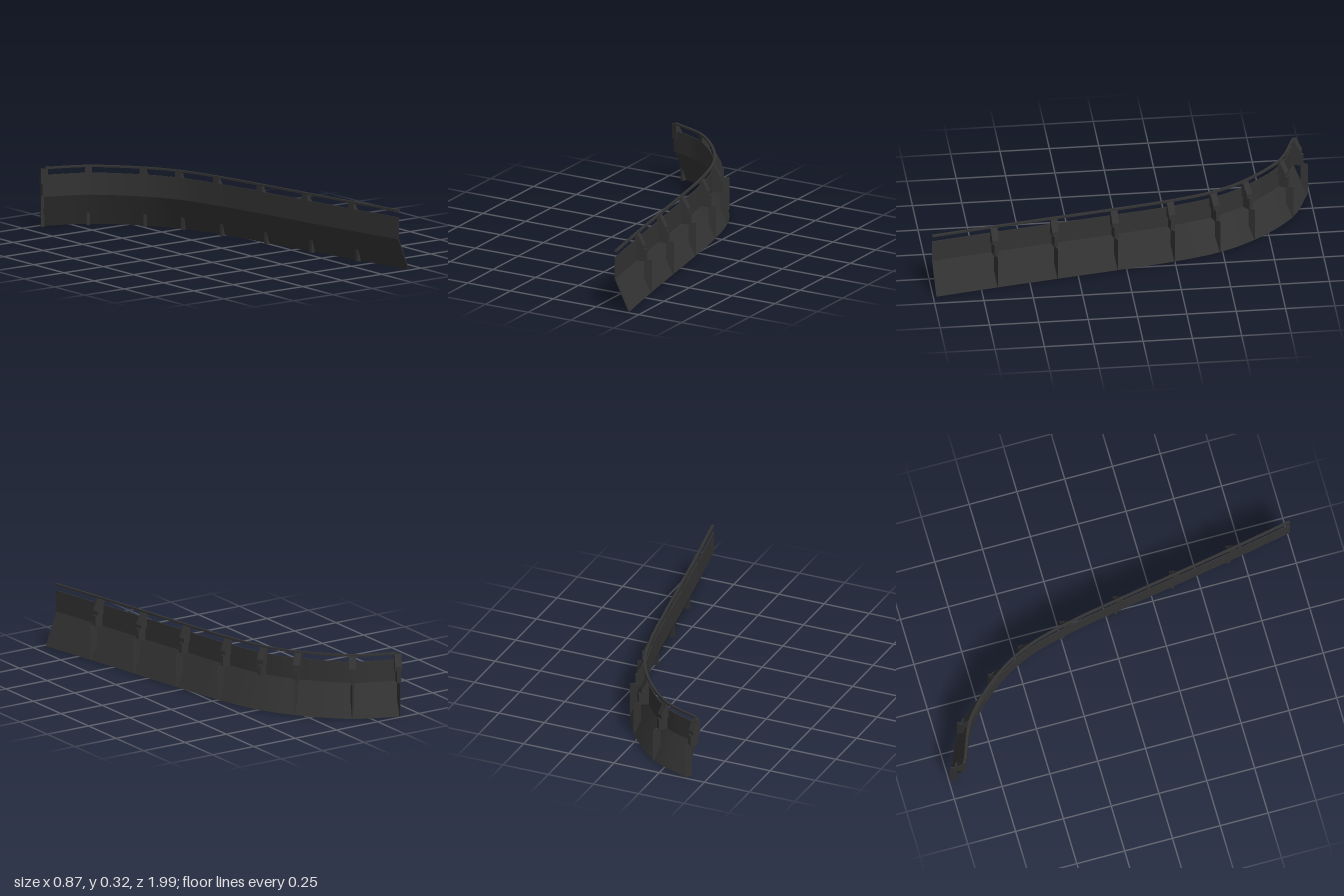
import * as THREE from 'three';
import { toCreasedNormals } from 'three/addons/utils/BufferGeometryUtils.js';

const material = new THREE.MeshStandardMaterial({ color: 0x333333 });

// Ground line of the barrier: one end, seven posts, other end
const path = new THREE.CatmullRomCurve3([
  [0.357, 0.998], [0.297, 0.68], [0.243, 0.37], [0.19, 0.06], [0.135, -0.23],
  [0.07, -0.455], [-0.025, -0.625], [-0.215, -0.825], [-0.42, -0.915],
].map(([x, z]) => new THREE.Vector3(x, 0, z)));

// Point, direction and outward normal on the path
function frameAt(t) {
  const p = path.getPoint(t);
  const d = path.getTangent(t);
  return { p, d, n: new THREE.Vector3(-d.z, 0, d.x) };
}

// Sweep four counter-clockwise corners (outward offset, height) along the path
function sweep(name, corners, steps = 64) {
  const pos = [], index = [];
  for (let i = 0; i <= steps; i++) {
    const { p, n } = frameAt(i / steps);
    for (const [o, y] of corners) pos.push(p.x + n.x * o, y, p.z + n.z * o);
  }
  for (let i = 0; i < steps; i++) {
    for (let j = 0; j < 4; j++) {
      const a = i * 4 + j, b = i * 4 + (j + 1) % 4;
      index.push(a, a + 4, b, b, a + 4, b + 4);
    }
  }
  const e = steps * 4;
  index.push(0, 1, 2, 0, 2, 3, e, e + 2, e + 1, e, e + 3, e + 2);
  const geo = new THREE.BufferGeometry();
  geo.setAttribute('position', new THREE.Float32BufferAttribute(pos, 3));
  geo.setIndex(index);
  const mesh = new THREE.Mesh(toCreasedNormals(geo, 0.4), material);
  mesh.name = name;
  return mesh;
}

// Plate drawn in (outward offset, height), given a width along the wall
function plate(name, points, width) {
  const shape = new THREE.Shape(points.map(([x, y]) => new THREE.Vector2(x, y)));
  const geo = new THREE.ExtrudeGeometry(shape, { depth: width, bevelEnabled: false });
  geo.translate(0, 0, -width / 2);
  const mesh = new THREE.Mesh(geo, material);
  mesh.name = name;
  return mesh;
}

function makePost() {
  const post = new THREE.Group();
  post.name = 'post';
  // Sloping head that carries the rail
  post.add(plate('postHead', [
    [0, 0.23], [0.045, 0.23], [0.045, 0.25], [0.014, 0.308], [0, 0.308],
  ], 0.036));
  // Narrow stem against the panel
  post.add(plate('postStem', [
    [0.002, 0.166], [0.055, 0.166], [0.055, 0.23], [0.002, 0.23],
  ], 0.02));
  // Wedge-shaped leg running to the ground through the sloped panel
  const wedge = new THREE.Shape([
    new THREE.Vector2(0.045, -0.009), new THREE.Vector2(0.083, 0), new THREE.Vector2(0.045, 0.009),
  ]);
  const legGeo = new THREE.ExtrudeGeometry(wedge, { depth: 0.175, bevelEnabled: false });
  legGeo.rotateX(-Math.PI / 2);
  const leg = new THREE.Mesh(legGeo, material);
  leg.name = 'postLeg';
  post.add(leg);
  return post;
}

export function createModel() {
  const model = new THREE.Group();
  model.name = 'curvedBarrier';

  // Upright upper panel, flared lower panel and top rail
  model.add(sweep('upperPanel', [[0, 0.165], [0.005, 0.165], [0.005, 0.278], [0, 0.278]]));
  model.add(sweep('lowerPanel', [[0.074, 0], [0.079, 0], [0.005, 0.167], [0, 0.165]]));
  model.add(sweep('topRail', [[0, 0.307], [0.013, 0.307], [0.013, 0.317], [0, 0.317]]));

  // Posts on the outer side, the last one closing the far end
  for (let i = 1; i <= 8; i++) {
    const { p, d, n } = frameAt(i / 8);
    const post = makePost();
    post.position.copy(p);
    if (i === 8) post.position.addScaledVector(d, 0.004);
    post.rotation.y = Math.atan2(-n.z, n.x);
    model.add(post);
  }
  return model;
}
